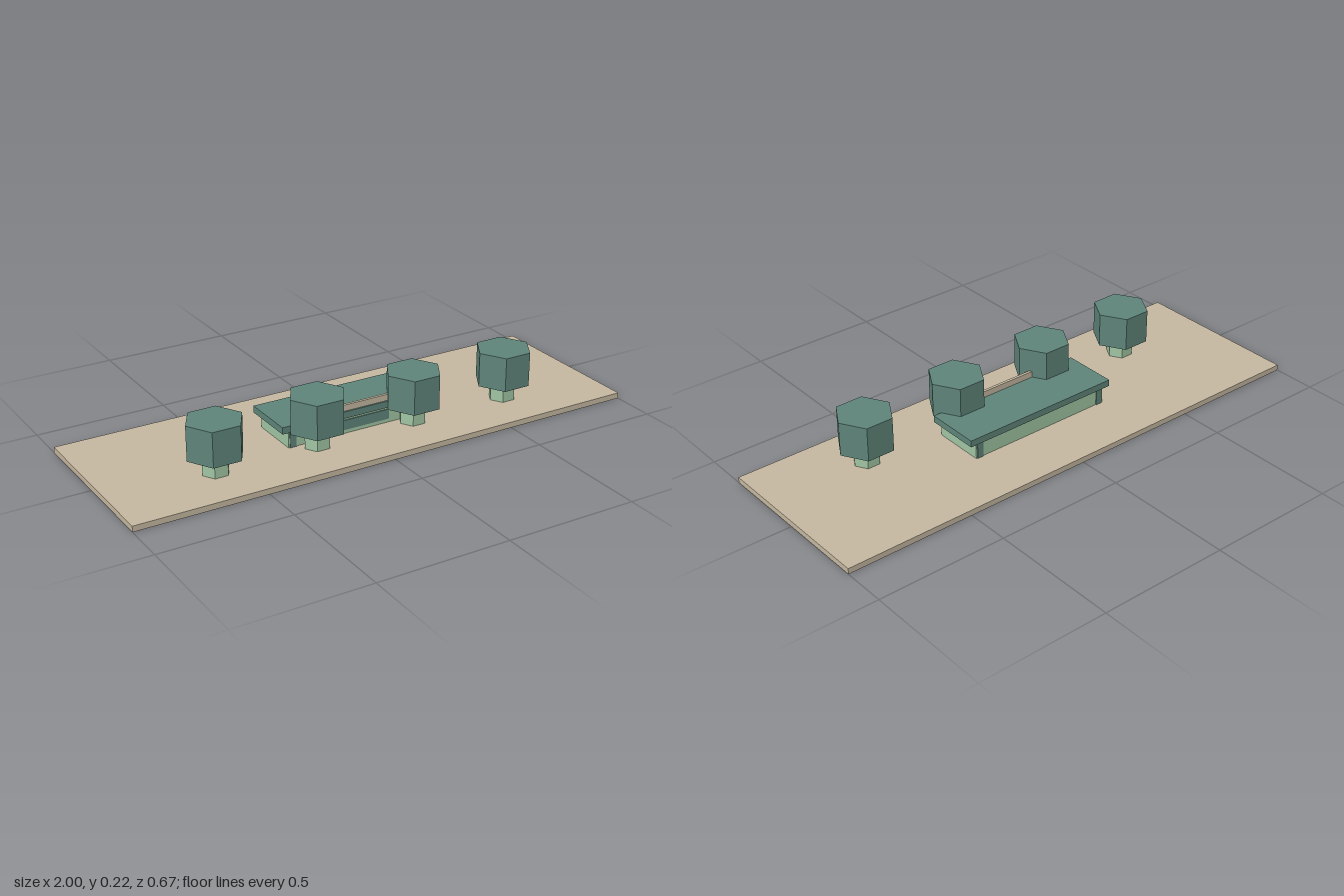
import * as THREE from 'three';

const mat = (name, color) => {
  const m = new THREE.MeshStandardMaterial({ color });
  m.name = name;
  return m;
};

export function createModel() {
  const tan = mat('tan stone', 0xc6b8a1);
  const teal = mat('dark teal', 0x5f857a);
  const green = mat('pale green', 0xa1c6a3);
  const model = new THREE.Group();

  // Helpers: a box given by its centre, and an upright hexagonal prism
  const box = (name, m, w, h, d, x, y, z) => {
    const mesh = new THREE.Mesh(new THREE.BoxGeometry(w, h, d), m);
    mesh.name = name;
    mesh.position.set(x, y, z);
    model.add(mesh);
    return mesh;
  };
  const hexPrism = (name, m, radius, y0, y1) => {
    const geo = new THREE.CylinderGeometry(radius, radius, y1 - y0, 6).toNonIndexed();
    geo.rotateY(Math.PI / 2); // corners point along x
    geo.computeVertexNormals();
    const mesh = new THREE.Mesh(geo, m);
    mesh.name = name;
    mesh.position.y = (y0 + y1) / 2;
    return mesh;
  };

  // Ground slab
  const ground = 0.022;
  box('groundSlab', tan, 2, ground, 0.667, 0, ground / 2, 0);

  // Low building: walls, overhanging roof and raised front board
  box('walls', green, 0.594, 0.062, 0.2, 0, 0.053, 0);
  box('roof', teal, 0.648, 0.026, 0.215, 0, 0.097, 0);
  box('roofBoard', tan, 0.36, 0.024, 0.011, 0, 0.122, 0.096);

  // Front panel
  box('frontPanel', teal, 0.235, 0.038, 0.008, 0, 0.056, 0.1);

  // Corner pilasters and small side windows
  for (const side of [-1, 1]) {
    box('pilaster', teal, 0.026, 0.062, 0.206, side * 0.279, 0.053, 0);
    box('sideWindow', teal, 0.006, 0.017, 0.022, side * 0.297, 0.0735, 0);
  }

  // Row of four trees
  for (const x of [-0.6, -0.2, 0.2, 0.6]) {
    const tree = new THREE.Group();
    tree.name = 'tree';
    tree.add(hexPrism('trunk', green, 0.051, ground, 0.09));
    tree.add(hexPrism('canopy', teal, 0.107, 0.09, 0.222));
    tree.position.set(x, 0, 0.134);
    model.add(tree);
  }
  return model;
}
